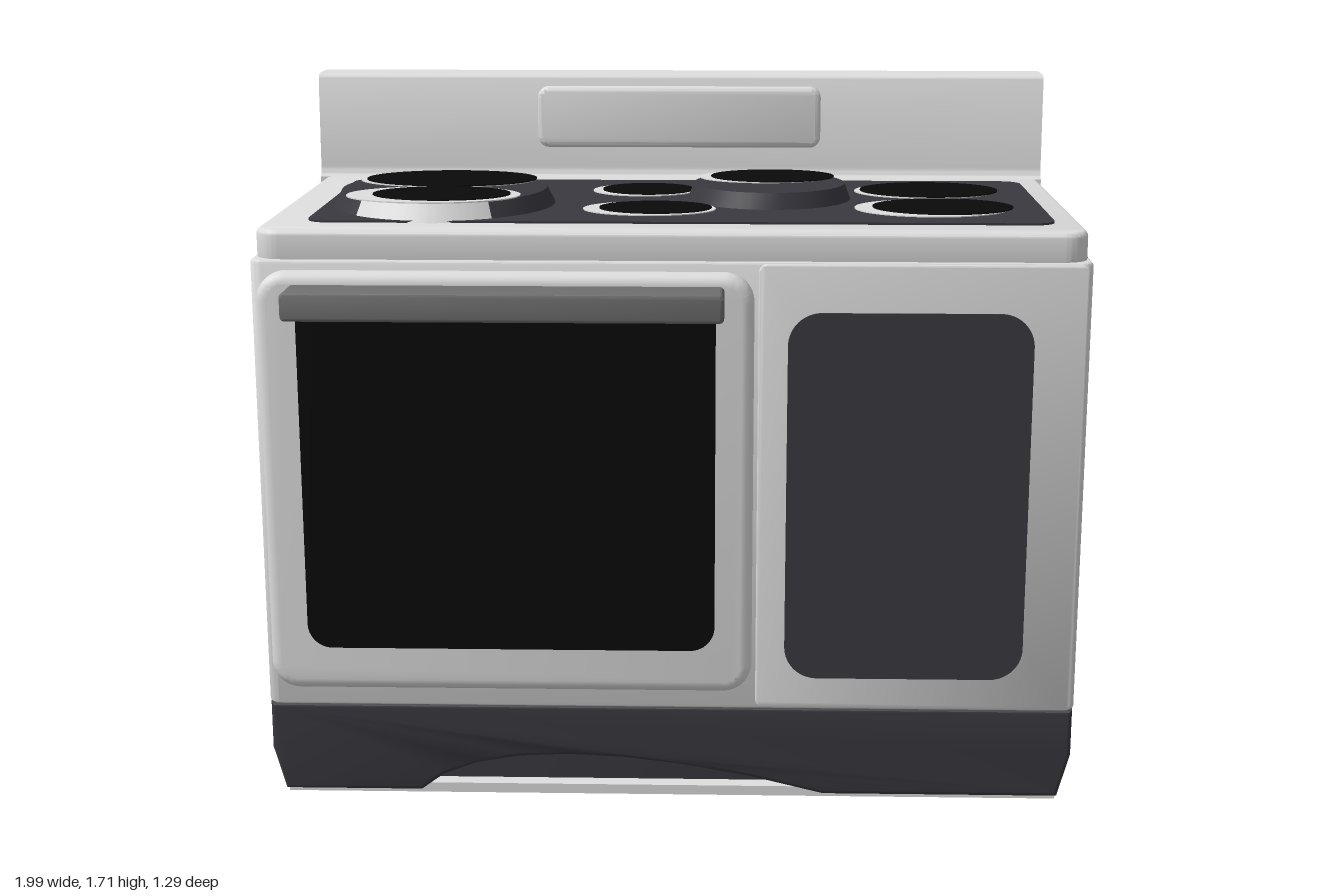
import * as THREE from 'three';
import { toCreasedNormals } from 'three/addons/utils/BufferGeometryUtils.js';

const makeMaterial = (name, color) => {
  const m = new THREE.MeshStandardMaterial({ color });
  m.name = name;
  return m;
};

// Rectangle with four rounded corners
function roundedRect(x0, y0, x1, y1, r) {
  const s = new THREE.Shape();
  s.moveTo(x0 + r, y0);
  s.lineTo(x1 - r, y0);
  s.absarc(x1 - r, y0 + r, r, -Math.PI / 2, 0);
  s.lineTo(x1, y1 - r);
  s.absarc(x1 - r, y1 - r, r, 0, Math.PI / 2);
  s.lineTo(x0 + r, y1);
  s.absarc(x0 + r, y1 - r, r, Math.PI / 2, Math.PI);
  s.lineTo(x0, y0 + r);
  s.absarc(x0 + r, y0 + r, r, Math.PI, Math.PI * 1.5);
  return s;
}

// Extrusion whose total size includes its bevel
function extrude(shape, depth, bevel = 0) {
  const g = new THREE.ExtrudeGeometry(shape, {
    depth: depth - 2 * bevel, bevelEnabled: bevel > 0, bevelSize: bevel,
    bevelThickness: bevel, bevelOffset: -bevel, bevelSegments: 4, curveSegments: 8,
  });
  return g.translate(0, 0, bevel);
}

// Upright block with a square back and rounded front corners
function planBlock(halfWidth, zBack, zFront, y0, y1, r, bevel = 0) {
  const s = new THREE.Shape();
  s.moveTo(-halfWidth, -zBack);
  s.lineTo(-halfWidth, -zFront + r);
  s.absarc(-halfWidth + r, -zFront + r, r, Math.PI, Math.PI * 1.5);
  s.lineTo(halfWidth - r, -zFront);
  s.absarc(halfWidth - r, -zFront + r, r, -Math.PI / 2, 0);
  s.lineTo(halfWidth, -zBack);
  return extrude(s, y1 - y0, bevel).rotateX(-Math.PI / 2).translate(0, y0, 0);
}

export function createModel() {
  const model = new THREE.Group();
  model.name = 'stove';
  const white = makeMaterial('white enamel', 0xdedede);
  const dark = makeMaterial('charcoal', 0x3a3940);
  const black = makeMaterial('black glass', 0x0a0a0a);
  const gray = makeMaterial('gray metal', 0x707070);

  const add = (name, geometry, material, parent = model) => {
    const mesh = new THREE.Mesh(toCreasedNormals(geometry, 0.6), material);
    mesh.name = name;
    parent.add(mesh);
    return mesh;
  };

  // Cabinet, narrowing slightly at the foot
  add('cabinet', planBlock(0.99, -0.64, 0.39, 0.13, 1.36, 0.01), dark);
  const foot = planBlock(0.99, -0.64, 0.39, 0.02, 0.13, 0.01);
  const p = foot.attributes.position;
  for (let i = 0; i < p.count; i++) if (p.getY(i) < 0.05) p.setX(i, p.getX(i) * 0.975);
  foot.computeVertexNormals();
  add('cabinetFoot', foot, dark);
  add('basePlate', new THREE.BoxGeometry(1.92, 0.025, 1.07).translate(0, 0.0125, -0.105), white);

  // Kick panel with a shallow arched recess
  const kick = new THREE.Shape();
  kick.moveTo(-0.99, 0.25);
  kick.lineTo(-0.99, 0.13);
  kick.lineTo(-0.96, 0.02);
  kick.lineTo(-0.62, 0.02);
  kick.bezierCurveTo(-0.5, 0.15, -0.1, 0.15, 0.38, 0.02);
  kick.lineTo(0.96, 0.02);
  kick.lineTo(0.99, 0.13);
  kick.lineTo(0.99, 0.25);
  add('kickPanel', extrude(kick, 0.09, 0.012).translate(0, 0, 0.378), dark);

  // White front face wrapping round onto the sides
  add('frontFace', planBlock(0.995, 0.375, 0.468, 0.245, 1.36, 0.03, 0.01), white);
  add('sideCompartment', extrude(roundedRect(0.21, 0.25, 0.985, 1.355, 0.02), 0.014, 0.005)
    .translate(0, 0, 0.46), white);
  add('sidePanel', extrude(roundedRect(0.28, 0.33, 0.86, 1.24, 0.08), 0.008)
    .translate(0, 0, 0.469), dark);

  // Oven door
  const door = new THREE.Group();
  door.name = 'ovenDoor';
  model.add(door);
  add('doorFrame', extrude(roundedRect(-0.97, 0.31, 0.2, 1.34, 0.07), 0.07, 0.027)
    .translate(0, 0, 0.466), white, door);
  add('doorWindow', extrude(roundedRect(-0.875, 0.42, 0.11, 1.28, 0.06), 0.008)
    .translate(0, 0, 0.531), black, door);
  add('doorHandle', extrude(roundedRect(-0.89, 1.245, 0.13, 1.312, 0.012), 0.12, 0.008)
    .translate(0, 0, 0.525), gray, door);

  // Cooktop slab and its glass
  add('cooktop', planBlock(0.985, -0.64, 0.46, 1.345, 1.43, 0.06, 0.015), white);
  add('cooktopGlass', extrude(roundedRect(-0.88, -0.345, 0.92, 0.41, 0.05), 0.008)
    .rotateX(-Math.PI / 2).translate(0, 1.427, 0), dark);

  // Backsplash, drawn from the side
  const back = new THREE.Shape();
  back.moveTo(-0.645, 1.345);
  back.lineTo(-0.49, 1.345);
  back.lineTo(-0.49, 1.43);
  back.quadraticCurveTo(-0.505, 1.435, -0.507, 1.46);
  back.lineTo(-0.515, 1.69);
  back.quadraticCurveTo(-0.518, 1.712, -0.54, 1.712);
  back.lineTo(-0.645, 1.712);
  add('backsplash', extrude(back, 1.99).rotateY(-Math.PI / 2).translate(0.993, 0, 0), white);
  add('controlPanel', extrude(roundedRect(-0.39, 1.515, 0.385, 1.68, 0.03), 0.05, 0.015)
    .translate(0, 0, -0.525), white);

  // Raised hot zones
  const hotZone = (name, x, z, rx, rz, material, start = 0, sweep = Math.PI * 2, open = false) => {
    const g = new THREE.CylinderGeometry(0.92, 1, 0.045, 48, 1, open, start, sweep);
    add(name, g.scale(rx, 1, rz).translate(x, 1.4525, z), material);
  };
  hotZone('leftHotZone', -0.58, 0.04, 0.28, 0.31, dark);
  hotZone('rightHotZone', 0.24, -0.075, 0.21, 0.22, dark);
  hotZone('leftHotZoneFront', -0.58, 0.04, 0.281, 0.311, white, -0.75, 1.3, true);

  // Burners: black disc [x, z, rx, rz] over an offset white disc, at height y
  const low = 1.435, high = 1.475;
  const burners = [
    [-0.58, -0.10, 0.22, 0.15, -0.59, -0.10, 0.225, 0.15, high],
    [-0.57, 0.185, 0.17, 0.12, -0.59, 0.19, 0.215, 0.145, high],
    [0.25, -0.17, 0.16, 0.12, 0.225, -0.17, 0.165, 0.12, high],
    [-0.075, -0.205, 0.12, 0.105, -0.085, -0.2, 0.135, 0.115, low],
    [-0.045, 0.13, 0.14, 0.105, -0.06, 0.135, 0.165, 0.12, low],
    [0.66, -0.205, 0.18, 0.14, 0.645, -0.2, 0.18, 0.14, low],
    [0.67, 0.1, 0.175, 0.135, 0.64, 0.11, 0.19, 0.15, low],
  ];
  const disc = (x, z, rx, rz, y) =>
    new THREE.CylinderGeometry(1, 1, 0.003, 40).scale(rx, 1, rz).translate(x, y, z);
  burners.forEach(([x, z, rx, rz, wx, wz, wrx, wrz, y], i) => {
    const burner = new THREE.Group();
    burner.name = `burner${i + 1}`;
    model.add(burner);
    add('burnerRim', disc(wx, wz, wrx, wrz, y + 0.001), white, burner);
    add('burnerDisc', disc(x, z, rx, rz, y + 0.004), black, burner);
  });

  return model;
}
